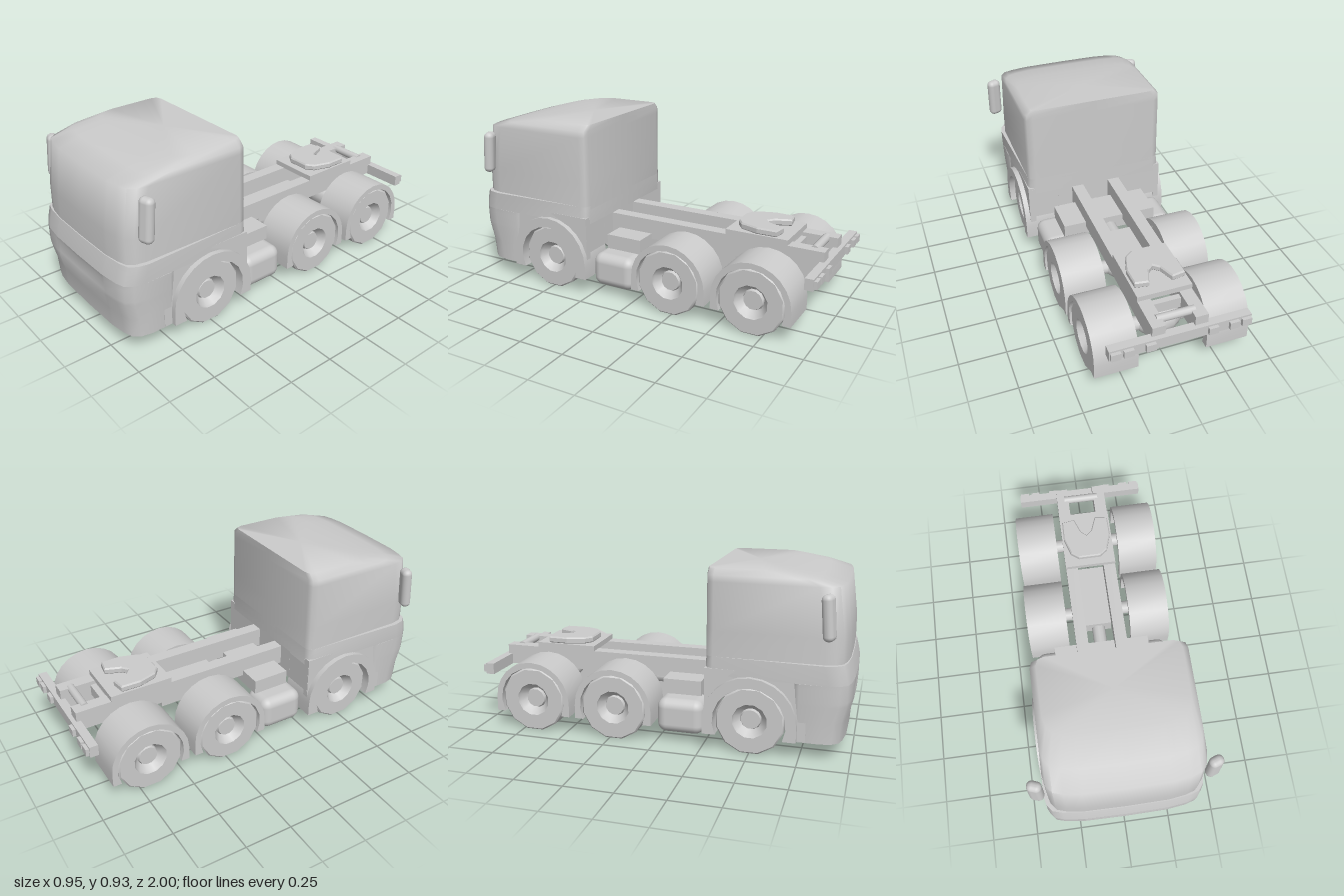
import * as THREE from 'three';
import { toCreasedNormals } from 'three/addons/utils/BufferGeometryUtils.js';
import { RoundedBoxGeometry } from 'three/addons/geometries/RoundedBoxGeometry.js';

const mat = new THREE.MeshStandardMaterial({ color: 0xcccccc });

// Horizontal outline of the cab: rounded corners, slightly bowed front, optional grille recess
function outline({ y, w, wb = w, zb, zf, recess = 0 }) {
  const half = [
    [0, zb], [wb - 0.04, zb], [wb - 0.01, zb + 0.01], [wb, zb + 0.04],
    [w, zf - 0.12], [w - 0.012, zf - 0.065], [w - 0.04, zf - 0.03], [w - 0.09, zf - 0.015],
    [0.235, zf - 0.005], [0.215, zf - recess - 0.003], [0, zf - recess],
  ];
  const mirrored = half.slice(1, -1).reverse().map(([x, z]) => [-x, z]);
  return [...half, ...mirrored].map(([x, z]) => [x, y, z]);
}

// Skin between stacked outlines, closed at both ends
function loft(sections) {
  const rings = sections.map(outline);
  const n = rings[0].length;
  const pos = rings.flat(2);
  const idx = [];
  for (let i = 0; i < rings.length - 1; i++) {
    for (let j = 0; j < n; j++) {
      const a = i * n + j, b = i * n + (j + 1) % n;
      idx.push(a, a + n, b, b, a + n, b + n);
    }
  }
  const last = rings.length - 1;
  for (const [r, up] of [[0, false], [last, true]]) {
    const { y, zb, zf } = sections[r];
    const c = pos.length / 3;
    pos.push(0, y, (zb + zf) / 2);
    for (let j = 0; j < n; j++) {
      const a = r * n + j, b = r * n + (j + 1) % n;
      idx.push(c, up ? b : a, up ? a : b);
    }
  }
  const g = new THREE.BufferGeometry();
  g.setAttribute('position', new THREE.Float32BufferAttribute(pos, 3));
  g.setIndex(idx);
  return toCreasedNormals(g, 1.2);
}

// Shape drawn in (z, y), extruded from x0 to x1
function extrudeX(points, x0, x1) {
  const shape = new THREE.Shape(points.map(([z, y]) => new THREE.Vector2(z, y)));
  const g = new THREE.ExtrudeGeometry(shape, { depth: x1 - x0, bevelEnabled: false });
  g.rotateY(-Math.PI / 2).translate(x1, 0, 0);
  return toCreasedNormals(g, 0.6);
}

// Arc over a wheel from rear to front, reaching the angle "dip" below its centre
function arc(z, y, r, dip) {
  return Array.from({ length: 13 }, (_, i) => {
    const a = Math.PI + dip - (i / 12) * (Math.PI + 2 * dip);
    return [z + r * Math.cos(a), y + r * Math.sin(a)];
  });
}
// Inner edge that hugs the wheel down to y0
const wheelEdge = (z, y, r, y0) => arc(z, y, r, Math.asin((y - y0) / r));
// Fender section: straight legs outside, round inside
const fenderBand = (z, y, rOut, rIn, y0) =>
  [[z - rOut, y0], ...arc(z, y, rOut, 0), [z + rOut, y0], ...wheelEdge(z, y, rIn, y0).reverse()];

// Twelve-sided wheel with a dished rim, outer face toward +x
function wheelGeometry(w) {
  const profile = [
    [0, 0], [0.17, 0], [0.178, 0.008], [0.178, w - 0.008], [0.17, w],
    [0.09, w], [0.083, w - 0.012], [0.056, w - 0.045], [0.05, w - 0.03], [0, w - 0.03],
  ].map(([r, y]) => new THREE.Vector2(r, y));
  const g = new THREE.LatheGeometry(profile, 12, Math.PI / 12);
  return toCreasedNormals(g.rotateZ(-Math.PI / 2), 0.6);
}

export function createModel() {
  const model = new THREE.Group();
  const add = (name, geo, x = 0, y = 0, z = 0) => {
    const m = new THREE.Mesh(geo, mat);
    m.name = name;
    m.position.set(x, y, z);
    model.add(m);
    return m;
  };
  const box = (name, w, h, d, x, y, z) => add(name, new THREE.BoxGeometry(w, h, d), x, y, z);
  const rod = (name, r, len, axis, x, y, z) => {
    const g = new THREE.CylinderGeometry(r, r, len, 12);
    if (axis === 'x') g.rotateZ(Math.PI / 2); else g.rotateX(Math.PI / 2);
    return add(name, g, x, y, z);
  };

  // Cab
  add('upperCab', loft([
    { y: 0.48, w: 0.396, zb: 0.265, zf: 0.972 },
    { y: 0.63, w: 0.395, zb: 0.265, zf: 0.97 },
    { y: 0.875, w: 0.394, zb: 0.265, zf: 0.938 },
    { y: 0.908, w: 0.392, zb: 0.265, zf: 0.82 },
    { y: 0.938, w: 0.36, zb: 0.265, zf: 0.67 },
  ]));
  add('cabWaist', loft([
    { y: 0.4, w: 0.412, wb: 0.402, zb: 0.265, zf: 1.0 },
    { y: 0.45, w: 0.416, wb: 0.4, zb: 0.265, zf: 0.99 },
    { y: 0.5, w: 0.418, wb: 0.396, zb: 0.265, zf: 0.976 },
  ]));
  add('frontBumper', loft([
    { y: 0.095, w: 0.4, zb: 0.7, zf: 0.97 },
    { y: 0.2, w: 0.404, zb: 0.7, zf: 0.977 },
    { y: 0.29, w: 0.408, zb: 0.7, zf: 0.998 },
    { y: 0.31, w: 0.409, zb: 0.7, zf: 1.0, recess: 0.006 },
    { y: 0.375, w: 0.411, zb: 0.7, zf: 1.0, recess: 0.006 },
    { y: 0.4, w: 0.412, zb: 0.7, zf: 1.0 },
  ]));
  box('cabFloor', 0.46, 0.2, 0.45, 0, 0.34, 0.49);
  box('cabRearWall', 0.8, 0.19, 0.025, 0, 0.335, 0.278);

  // Mirrored parts
  const panel = [[0.266, 0.1], [0.266, 0.44], [0.78, 0.44], [0.78, 0.1],
    ...wheelEdge(0.5, 0.175, 0.19, 0.1).reverse()];
  for (const s of [1, -1]) {
    const side = s > 0 ? 'left' : 'right';
    const slab = (name, pts, a, b) =>
      add(side + name, s > 0 ? extrudeX(pts, a, b) : extrudeX(pts, -b, -a));
    slab('CabSide', panel, 0.37, 0.404);
    slab('FrontWheelFlare', fenderBand(0.5, 0.175, 0.238, 0.186, 0.1), 0.22, 0.432);

    const mirror = add(side + 'Mirror', new RoundedBoxGeometry(0.075, 0.225, 0.055, 3, 0.026),
      s * 0.438, 0.742, 0.868);
    mirror.rotation.set(-0.08, s * 0.35, 0);

    // Wheels, rear fenders
    for (const [name, z] of [['FrontWheel', 0.5], ['MiddleWheel', -0.228], ['RearWheel', -0.687]]) {
      const wheel = add(side + name, wheelGeometry(0.176), s * 0.225, 0.177, z);
      if (s < 0) wheel.rotation.y = Math.PI;
    }
    for (const z of [-0.228, -0.687]) {
      slab('RearFender', fenderBand(z, 0.175, 0.212, 0.182, 0.1), 0.182, 0.41);
    }

    // Chassis rail and tank
    box(side + 'ChassisRail', 0.068, 0.11, 1.3, s * 0.11, 0.345, -0.31);
    add(side + 'Tank', new RoundedBoxGeometry(0.19, 0.185, 0.25, 4, 0.05), s * 0.285, 0.148, 0.127);

    // Tail lights
    for (const x of [0.335, 0.27, 0.16]) {
      box(side + 'TailLight', 0.05, 0.04, 0.02, s * x, 0.318, -0.99);
    }
  }

  // Between the rails
  box('equipmentBox', 0.54, 0.08, 0.205, 0, 0.28, 0.115);
  rod('driveShaft', 0.038, 0.9, 'z', 0, 0.25, 0.1);
  box('axleHousing', 0.15, 0.1, 0.36, 0, 0.26, -0.28);
  for (const z of [-0.235, -0.695]) {
    rod('rearAxle', 0.038, 0.47, 'x', 0, 0.18, z);
    const differential = add('differential', new THREE.SphereGeometry(0.085, 12, 8), 0, 0.18, z);
    differential.scale.x = 1.5;
  }
  rod('frontAxle', 0.035, 0.5, 'x', 0, 0.175, 0.5);
  box('rearCrossMember', 0.16, 0.06, 0.03, 0, 0.35, -0.78);
  rod('rearCrossTube', 0.022, 0.2, 'x', 0, 0.388, -0.895);
  box('tailBar', 0.73, 0.06, 0.045, 0, 0.318, -0.96);

  // Coupling plate with a slot open to the rear
  box('couplingBase', 0.29, 0.03, 0.34, 0, 0.413, -0.6);
  const right = [[0.06, 0.475], [0.1, 0.505], [0.13, 0.6], [0.128, 0.7], [0.065, 0.71], [0.035, 0.63]];
  const plate = [...right, [0, 0.6], ...right.map(([x, z]) => [-x, z]).reverse()];
  const plateGeo = new THREE.ExtrudeGeometry(
    new THREE.Shape(plate.map(([x, z]) => new THREE.Vector2(x, z))),
    { depth: 0.022, bevelSize: 0.006, bevelThickness: 0.008, bevelSegments: 1 });
  // shape y becomes -z, extrusion becomes +y
  add('couplingPlate', plateGeo.rotateX(-Math.PI / 2), 0, 0.433, 0);

  return model;
}
